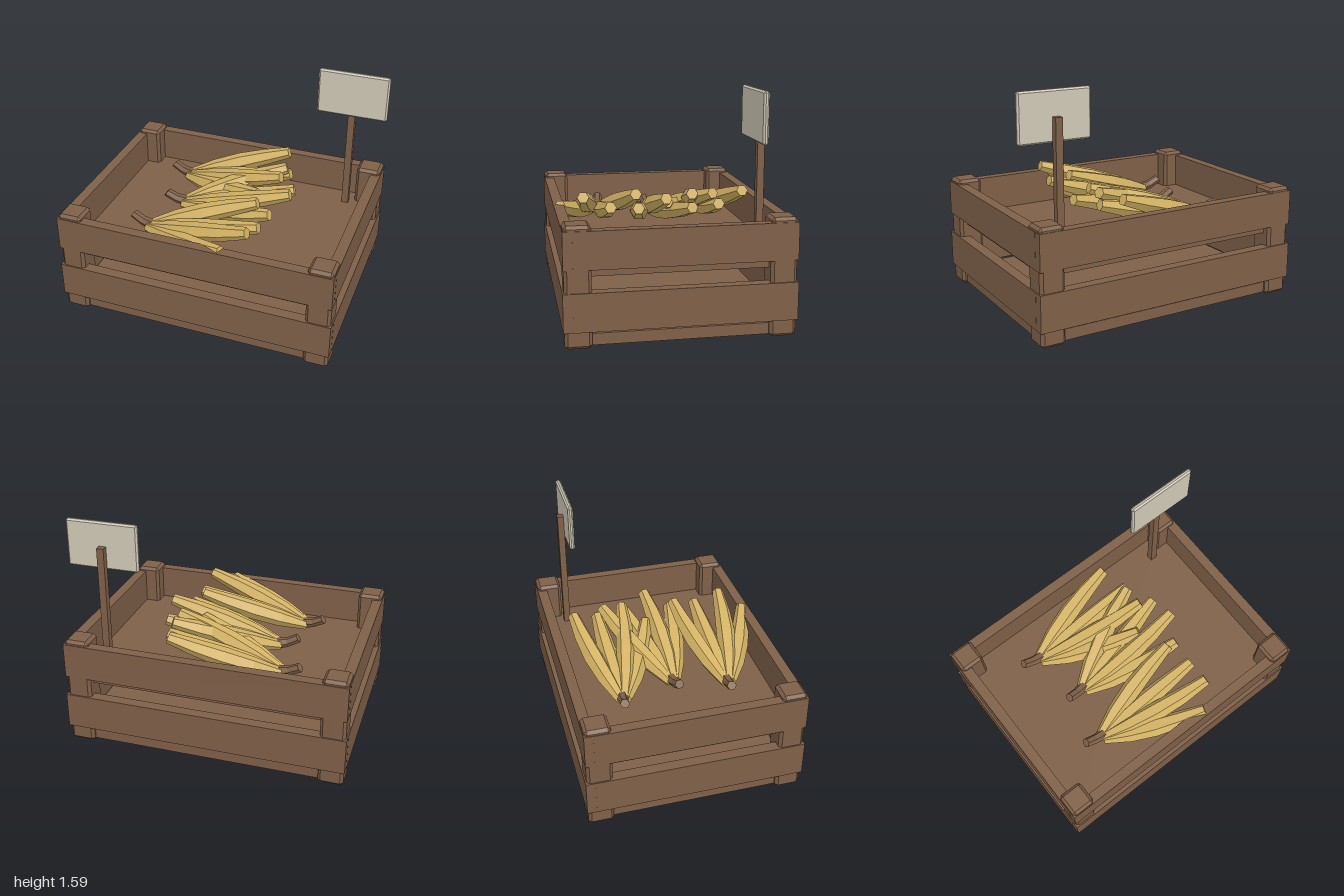
import * as THREE from 'three';
import { ConvexGeometry } from 'three/addons/geometries/ConvexGeometry.js';

const mat = (name, color, extra = {}) =>
  Object.assign(new THREE.MeshStandardMaterial({ color, ...extra }), { name });

// Box given by its limits
function box(name, material, [x0, x1], [y0, y1], [z0, z1]) {
  const mesh = new THREE.Mesh(new THREE.BoxGeometry(x1 - x0, y1 - y0, z1 - z0), material);
  mesh.position.set((x0 + x1) / 2, (y0 + y1) / 2, (z0 + z1) / 2);
  mesh.name = name;
  return mesh;
}

// Box with chamfered edges, given by its limits
function chamferBox(name, material, [x0, x1], [y0, y1], [z0, z1], b) {
  const h = [(x1 - x0) / 2, (y1 - y0) / 2, (z1 - z0) / 2];
  const points = [];
  for (const sx of [-1, 1]) for (const sy of [-1, 1]) for (const sz of [-1, 1])
    for (let axis = 0; axis < 3; axis++) {
      const p = [sx, sy, sz].map((s, i) => s * (h[i] - (i === axis ? 0 : b)));
      points.push(new THREE.Vector3(...p));
    }
  const mesh = new THREE.Mesh(new ConvexGeometry(points), material);
  mesh.position.set((x0 + x1) / 2, (y0 + y1) / 2, (z0 + z1) / 2);
  mesh.name = name;
  return mesh;
}

// Six-sided tapered body swept along a curve, with closed ends
function sweep(name, material, curve, radii) {
  const sides = 6, pos = [], index = [], n = radii.length;
  const up = new THREE.Vector3(0, 1, 0);
  radii.forEach((r, i) => {
    const t = i / (n - 1), c = curve.getPoint(t), T = curve.getTangent(t);
    const S = T.clone().cross(up).normalize(), U = S.clone().cross(T);
    for (let j = 0; j < sides; j++) {
      const a = (j / sides) * Math.PI * 2;
      const p = c.clone().addScaledVector(S, r * Math.cos(a)).addScaledVector(U, r * Math.sin(a));
      pos.push(p.x, p.y, p.z);
    }
  });
  for (let i = 0; i < n - 1; i++) for (let j = 0; j < sides; j++) {
    const a = i * sides + j, b = i * sides + (j + 1) % sides, c = a + sides, d = b + sides;
    index.push(a, c, b, b, c, d);
  }
  const end = (n - 1) * sides;
  for (let j = 1; j < sides - 1; j++) {
    index.push(0, j, j + 1, end, end + j + 1, end + j);
  }
  let g = new THREE.BufferGeometry();
  g.setAttribute('position', new THREE.Float32BufferAttribute(pos, 3));
  g.setIndex(index);
  g = g.toNonIndexed();
  g.computeVertexNormals();
  const mesh = new THREE.Mesh(g, material);
  mesh.name = name;
  return mesh;
}

// Four bananas fanning out from one stem; the stem end is the local origin
function bananaBunch(yellow, brown) {
  const bunch = new THREE.Group();
  bunch.name = 'bananaBunch';
  const V = (x, y, z) => new THREE.Vector3(x, y, z);
  const stem = new THREE.QuadraticBezierCurve3(V(0.01, 0.65, 0), V(0.08, 0.6, 0.01), V(0.18, 0.59, 0.015));
  bunch.add(sweep('stem', brown, stem, [0.033, 0.035, 0.042]));
  const tips = [
    [0.89, 0.83, -0.17], [0.96, 0.757, 0.015], [0.94, 0.83, 0.2], [0.81, 0.748, 0.35],
  ];
  tips.forEach(([x, y, z], i) => {
    const bow = [-0.05, 0, 0.05, 0.05][i];
    const start = V(0.14, 0.585, 0.015 + z * 0.08);
    const mid = V((0.14 + x) / 2, (0.585 + y) / 2 - (i % 2 ? 0.03 : 0.005), (0.015 + z) / 2 + bow);
    const curve = new THREE.QuadraticBezierCurve3(start, mid, V(x, y, z));
    bunch.add(sweep('banana', yellow, curve, [0.036, 0.062, 0.07, 0.06, 0.041]));
  });
  return bunch;
}

export function createModel() {
  const wood = mat('wood brown', 0x7f6048);
  const yellow = mat('banana yellow', 0xd3b264);
  const cream = mat('sign cream', 0xd0cab6);
  const model = new THREE.Group();
  model.name = 'bananaCrate';

  // Crate, built centred and shifted slightly to leave room for the sign
  const crate = new THREE.Group();
  crate.name = 'crate';
  crate.position.set(-0.008, 0, -0.004);
  model.add(crate);

  // Corner posts
  for (const sx of [-1, 1]) for (const sz of [-1, 1]) {
    const span = (s, a, b) => (s > 0 ? [a, b] : [-b, -a]);
    crate.add(chamferBox('cornerPost', wood, span(sx, 0.81, 0.983), [0, 0.79], span(sz, 0.573, 0.747), 0.02));
  }

  // Two rows of slats on all four sides
  for (const [y0, y1, grow] of [[0.112, 0.365, 0.004], [0.51, 0.758, 0]]) {
    for (const s of [-1, 1]) {
      const out = (a, b) => (s > 0 ? [a, b] : [-b, -a]);
      crate.add(box('longSlat', wood, [-0.987 - grow, 0.987 + grow], [y0, y1], out(0.68, 0.752 + grow)));
      crate.add(box('sideSlat', wood, out(0.915, 0.988 + grow), [y0, y1], [-0.69, 0.69]));
    }
  }

  // Raised tray and bottom panel
  crate.add(box('tray', wood, [-0.93, 0.93], [0.455, 0.508], [-0.69, 0.69]));
  crate.add(box('bottomPanel', wood, [-0.95, 0.95], [0.013, 0.09], [-0.715, 0.715]));

  // Price sign on a stick
  model.add(box('signStick', wood, [0.715, 0.765], [0.5, 1.42], [-0.577, -0.53]));
  model.add(chamferBox('signBoard', cream, [0.49, 1.0], [1.255, 1.59], [-0.532, -0.495], 0.012));

  // Three bunches of bananas
  for (const [x, z, turn] of [[-0.61, -0.4, 0], [-0.5, 0.015, 0.22], [-0.61, 0.355, 0]]) {
    const bunch = bananaBunch(yellow, wood);
    bunch.position.set(x, 0, z);
    bunch.rotation.y = turn;
    model.add(bunch);
  }
  return model;
}
